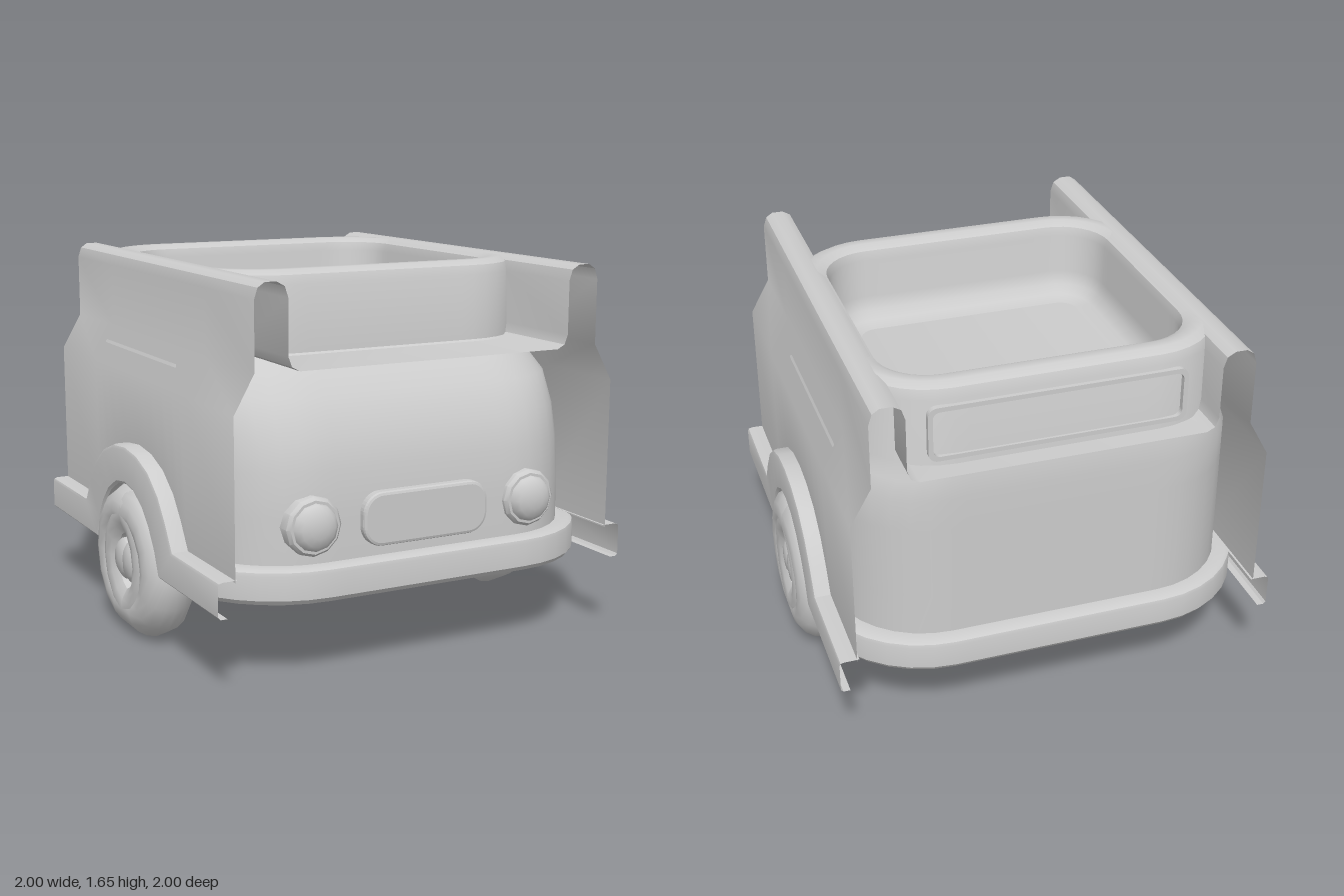
import * as THREE from 'three';
import { toCreasedNormals } from 'three/addons/utils/BufferGeometryUtils.js';

const paint = new THREE.MeshStandardMaterial({ color: 0xcccccc, side: THREE.DoubleSide });
paint.name = 'plainGrey';

function addMesh(parent, name, geometry) {
  const mesh = new THREE.Mesh(geometry, paint);
  mesh.name = name;
  parent.add(mesh);
  return mesh;
}

// Skin a list of equal-length cross-sections, each a list of [x, y, z]
function loft(sections, crease = 0.6) {
  const n = sections[0].length, index = [];
  for (let i = 0; i < sections.length - 1; i++) {
    for (let j = 0; j < n - 1; j++) {
      const a = i * n + j, b = a + n;
      index.push(a, a + 1, b, b, a + 1, b + 1);
    }
  }
  const g = new THREE.BufferGeometry();
  g.setAttribute('position', new THREE.Float32BufferAttribute(sections.flat(2), 3));
  g.setIndex(index);
  g.computeVertexNormals();
  return toCreasedNormals(g, crease);
}

// Wheel arch stations: z, outer y, then inner edge z, y
const archHalf = [
  [1, 0.51, 1, 0.36], [0.53, 0.51, 0.37, 0.36], [0.46, 0.62, 0.33, 0.46], [0.38, 0.72, 0.27, 0.55],
  [0.27, 0.8, 0.2, 0.62], [0.14, 0.845, 0.1, 0.675], [0, 0.86, 0, 0.69],
];
const arch = [...archHalf, ...archHalf.slice(0, -1).reverse().map(([z, y, iz, iy]) => [-z, y, -iz, iy])];

function archTop(z) {
  const d = Math.abs(z);
  for (let i = 1; i < archHalf.length; i++) {
    const [z0, y0] = archHalf[i - 1], [z1, y1] = archHalf[i];
    if (d >= z1) return y0 + (y1 - y0) * (z0 - d) / (z0 - z1);
  }
  return 0.86;
}

// Closed rounded rectangle in plan, as [x, z] points with subdivided sides
function planRing(hx, zf, zb, r) {
  const corners = [[hx - r, zf - r], [-hx + r, zf - r], [-hx + r, zb + r], [hx - r, zb + r]];
  const pts = [];
  corners.forEach(([cx, cz], k) => {
    for (let i = 0; i <= 8; i++) {
      const a = (k + i / 8) * Math.PI / 2;
      pts.push([cx + r * Math.cos(a), cz + r * Math.sin(a)]);
    }
    const [lx, lz] = pts[pts.length - 1], [nx, nz] = corners[(k + 1) % 4];
    const b = (k + 1) * Math.PI / 2;
    const ex = nx + r * Math.cos(b), ez = nz + r * Math.sin(b);
    for (let i = 1; i < 14; i++) pts.push([lx + (ex - lx) * i / 14, lz + (ez - lz) * i / 14]);
  });
  pts.push(pts[0]);
  return pts;
}

function roundedShape(w, h, r, Type = THREE.Shape) {
  const s = new Type();
  for (const [k, x, y] of [[0, w - r, h - r], [1, r - w, h - r], [2, r - w, r - h], [3, w - r, r - h]]) {
    s.absarc(x, y, r, k * Math.PI / 2, (k + 1) * Math.PI / 2, false);
  }
  s.closePath();
  return s;
}

function lathe(points, sides) {
  return toCreasedNormals(new THREE.LatheGeometry(points.map(p => new THREE.Vector2(...p)), sides), 0.75);
}

export function createModel() {
  const model = new THREE.Group();
  model.name = 'toyVan';

  // Body shell with sloping nose, rolled rim and open tub
  const rings = [
    [0.45, 0.885, 0.93, -0.93, 0.42], [0.7, 0.885, 0.925, -0.93, 0.42], [0.88, 0.885, 0.91, -0.93, 0.42],
    [1.02, 0.885, 0.875, -0.93, 0.42], [1.16, 0.885, 0.8, -0.93, 0.42], [1.25, 0.845, 0.71, -0.925, 0.4],
    [1.32, 0.8, 0.63, -0.91, 0.37], [1.6, 0.8, 0.61, -0.9, 0.36],
  ];
  const rimRoll = [[1.64, 0.015], [1.66, 0.05], [1.66, 0.095], [1.64, 0.135], [1.6, 0.148],
    [1.42, 0.15], [1.36, 0.17], [1.325, 0.21], [1.313, 0.28]];
  for (const [y, d] of rimRoll) rings.push([y, 0.8 - d, 0.61 - d, -0.9 + d, 0.36 - d]);
  addMesh(model, 'bodyShell', loft(rings.map(([y, ...plan]) => planRing(...plan).map(([x, z]) =>
    [x, Math.abs(x) > 0.75 ? Math.max(y, archTop(z) - 0.02) : y, z]))));

  // Side panels and the deck that joins them, one sheet cut out over the wheels
  const panelHalf = [[0.895, 1.16], [0.805, 1.32], [0.805, 1.6], [0.79, 1.645], [0.76, 1.665], [0.71, 1.665],
    [0.675, 1.645], [0.66, 1.6], [0.66, 1.37], [0.645, 1.33], [0.61, 1.312]];
  addMesh(model, 'sidePanelsAndDeck', loft(arch.map(([z, bottom]) => {
    const half = [[0.895, bottom - 0.01], ...panelHalf];
    return [...half.map(([x, y]) => [x, y, z]), ...half.reverse().map(([x, y]) => [-x, y, z])];
  })));

  // Fenders: hollow ledge following each arch
  const ledge = [[0.885, 0], [0.95, 0], [0.965, 0.03], [0.97, 0.1], [0.97, 0.93], [0.96, 1], [0.93, 1]];
  for (const side of [1, -1]) {
    addMesh(model, side > 0 ? 'leftFender' : 'rightFender', loft(arch.map(([z, y, iz, iy]) =>
      ledge.map(([x, t]) => [side * x, y + (iy - y) * t, z + (iz - z) * t]))));
  }

  // Bumpers: hollow lip wrapped round each end
  const lip = [[0.09, 0.505], [0.02, 0.505], [0.004, 0.495], [0, 0.48], [0, 0.38], [0.015, 0.36], [0.07, 0.36]];
  for (const end of [1, -1]) {
    const profile = lip.map(([d, y]) => {
      const ring = planRing(0.97 - d, 1 - d, -1 + d, 0.5 - d).slice(0, 31);
      return ring.map(([x, z]) => [x, y, z * end]);
    });
    addMesh(model, end > 0 ? 'frontBumper' : 'rearBumper', loft(profile));
  }

  // Wheels: two overlapping rounds on each side
  const wheelProfile = [[0, -0.05], [0.1, -0.05], [0.13, -0.07]];
  for (let i = 0; i <= 12; i++) {
    const a = -2.3 + 4.6 * i / 12;
    wheelProfile.push([0.22 + 0.118 * Math.cos(a), 0.12 * Math.sin(a)]);
  }
  wheelProfile.push([0.135, 0.06], [0.1, 0.055], [0.092, 0.085], [0.06, 0.105], [0, 0.112]);
  const wheelGeometry = lathe(wheelProfile, 14);
  for (const side of [1, -1]) {
    const wheel = new THREE.Group();
    wheel.name = side > 0 ? 'leftWheel' : 'rightWheel';
    wheel.position.set(side * 0.88, 0.342, 0);
    for (const z of [0.045, -0.045]) {
      const round = addMesh(wheel, 'tyreAndHub', wheelGeometry);
      round.rotation.z = -side * Math.PI / 2;
      round.position.z = z;
    }
    model.add(wheel);
  }

  // Headlights
  const lampGeometry = lathe([[0, -0.04], [0.125, -0.04], [0.125, 0.025], [0.112, 0.04], [0.1, 0.04],
    [0.095, 0.055], [0.075, 0.072], [0.04, 0.083], [0, 0.087]], 12);
  for (const side of [1, -1]) {
    const lamp = addMesh(model, side > 0 ? 'leftHeadlight' : 'rightHeadlight', lampGeometry);
    lamp.rotation.x = Math.PI / 2;
    lamp.position.set(side * 0.52, 0.665, 0.915);
  }

  // Grille pad
  const grille = addMesh(model, 'grille', new THREE.ExtrudeGeometry(roundedShape(0.285, 0.1, 0.075), {
    depth: 0.05, bevelThickness: 0.012, bevelSize: 0.014, bevelSegments: 2, curveSegments: 5,
  }));
  grille.position.set(0, 0.663, 0.9);

  // Rear window frame
  const frame = roundedShape(0.55, 0.12, 0.04);
  frame.holes.push(roundedShape(0.53, 0.1, 0.03, THREE.Path));
  const rearWindow = addMesh(model, 'rearWindowFrame', new THREE.ExtrudeGeometry(frame, {
    depth: 0.025, bevelEnabled: false, curveSegments: 4,
  }));
  rearWindow.position.set(0, 1.46, -0.92);

  return model;
}
